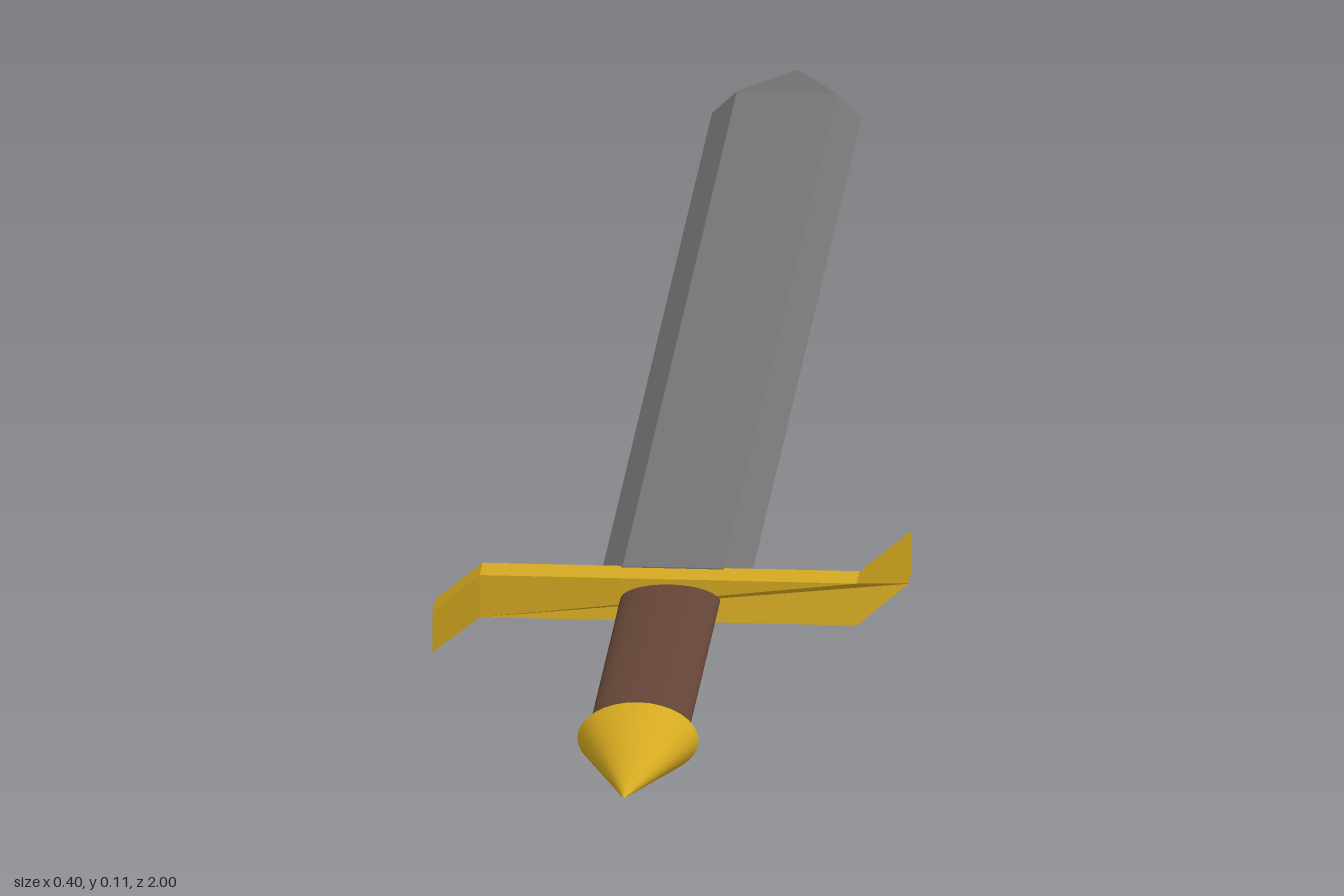
import * as THREE from 'three';

const CY = 0.054; // height of the sword's long axis

export function createModel() {
  const steel = new THREE.MeshStandardMaterial({ color: 0x747474 });
  const gold = new THREE.MeshStandardMaterial({ color: 0xd4a820 });
  const leather = new THREE.MeshStandardMaterial({ color: 0x644536 });
  steel.name = 'steel';
  gold.name = 'gold';
  leather.name = 'leather';

  const group = new THREE.Group();
  group.name = 'sword';
  const add = (name, geometry, material) => {
    const mesh = new THREE.Mesh(geometry, material);
    mesh.name = name;
    group.add(mesh);
  };

  // Blade: bevelled six-sided section, drawn to a point at the back
  const section = [[0.063, 0], [0.042, 0.02], [-0.042, 0.02], [-0.063, 0], [-0.042, -0.02], [0.042, -0.02]];
  const ring = (z, s) => section.map(([x, y]) => [x * s, CY + y * s, z]);
  const rings = [ring(0.428, 0), ring(0.428, 1), ring(-0.875, 1), ring(-1, 0)];
  const positions = [];
  for (let r = 0; r < rings.length - 1; r++) {
    for (let i = 0; i < 6; i++) {
      const j = (i + 1) % 6;
      const a = rings[r], b = rings[r + 1];
      if (r < 2) positions.push(...a[i], ...b[i], ...b[j]);
      if (r === 1) positions.push(...a[i], ...b[j], ...a[j]);
      if (r === 2) positions.push(...a[i], ...b[i], ...a[j]);
    }
  }
  const blade = new THREE.BufferGeometry();
  blade.setAttribute('position', new THREE.Float32BufferAttribute(positions, 3));
  blade.computeVertexNormals();
  add('blade', blade, steel);

  // Crossguard: one end bends up, the other down, both swept slightly to the blade
  const outline = [
    [-0.2, 0.002], [-0.16, 0.036], [0.157, 0.036], [0.2, 0.072],
    [0.2, 0.108], [0.157, 0.073], [-0.16, 0.073], [-0.2, 0.038],
  ].map(([x, y]) => new THREE.Vector2(x, y));
  const guard = new THREE.ExtrudeGeometry(new THREE.Shape(outline), { depth: 0.034, bevelEnabled: false });
  guard.translate(0, 0, 0.424);
  const p = guard.attributes.position;
  for (let i = 0; i < p.count; i++) {
    if (Math.abs(p.getX(i)) > 0.19) p.setZ(i, p.getZ(i) - 0.006);
  }
  guard.computeVertexNormals();
  add('crossguard', guard, gold);

  // Grip: flattened cylinder
  const grip = new THREE.CylinderGeometry(1, 1, 0.4, 32);
  grip.rotateX(Math.PI / 2).scale(0.042, 0.0145, 1).translate(0, CY, 0.645);
  add('grip', grip, leather);

  // Pommel: flattened cone
  const pommel = new THREE.ConeGeometry(1, 0.163, 32);
  pommel.rotateX(Math.PI / 2).scale(0.051, 0.0325, 1).translate(0.001, CY, 0.9185);
  add('pommel', pommel, gold);

  return group;
}
